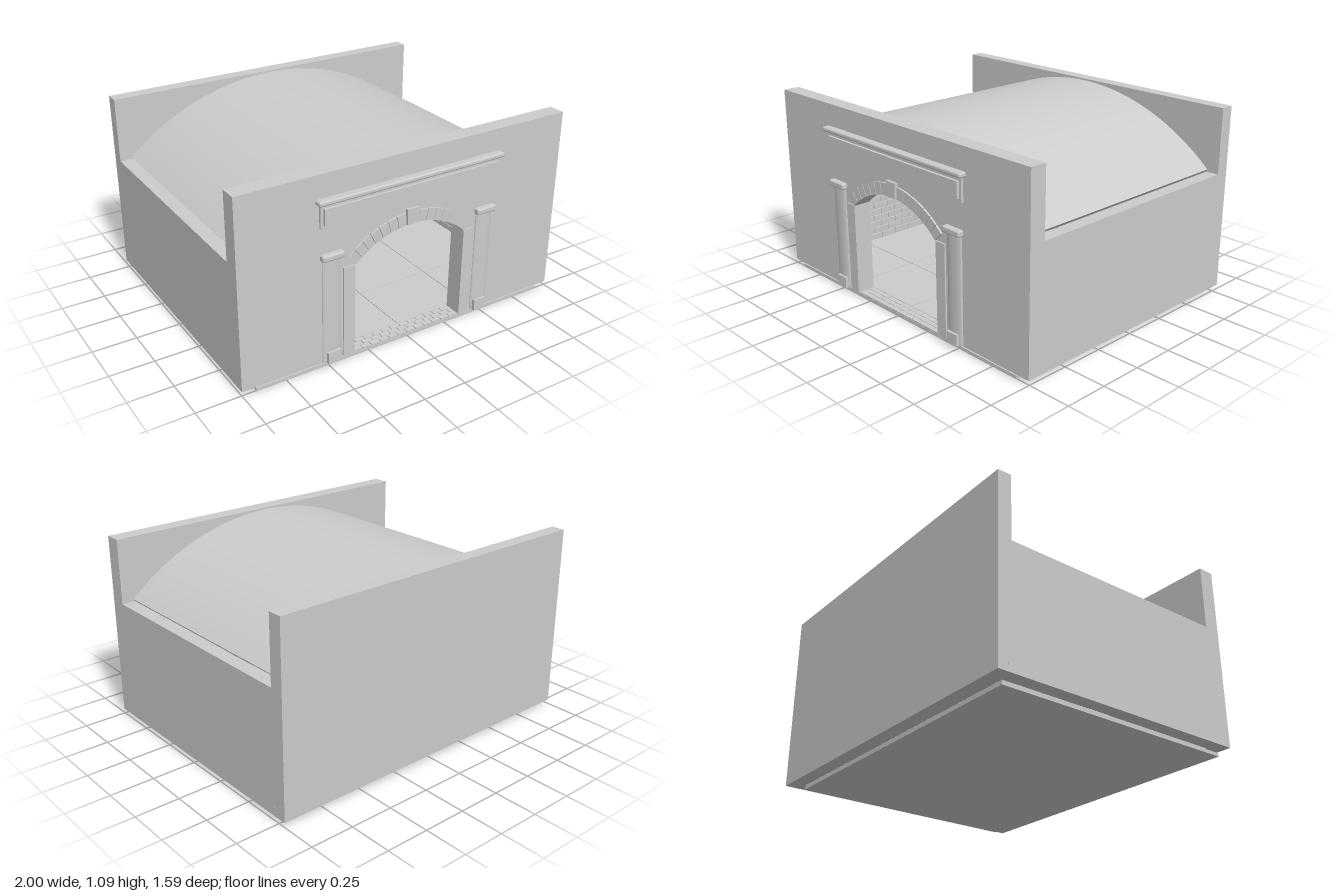
import * as THREE from 'three';
import { mergeGeometries, toCreasedNormals } from 'three/addons/utils/BufferGeometryUtils.js';
import { RoundedBoxGeometry } from 'three/addons/geometries/RoundedBoxGeometry.js';

const FRONT = 0.755, FRONT_IN = 0.66, BACK = -0.795, BACK_IN = -0.715;
const BASE = 0.025, TOP = 1.09;
// doorway arch
const DOOR = 0.345, SPRING = 0.55, ARCH_R = 0.495, ARCH_Y = 0.195;
const ARCH_A = Math.asin(DOOR / ARCH_R);
// roof vault
const ROOF_R = 1.405, ROOF_Y = -0.325, ROOF_A = Math.asin(0.93 / ROOF_R);

// box given by its minimum and maximum on each axis
function block(x0, x1, y0, y1, z0, z1) {
  return new THREE.BoxGeometry(x1 - x0, y1 - y0, z1 - z0)
    .translate((x0 + x1) / 2, (y0 + y1) / 2, (z0 + z1) / 2);
}

function rounded(x0, x1, y0, y1, z0, z1) {
  return new RoundedBoxGeometry(x1 - x0, y1 - y0, z1 - z0, 3, 0.01)
    .translate((x0 + x1) / 2, (y0 + y1) / 2, (z0 + z1) / 2);
}

function extrude(shape, z0, z1, curveSegments = 24) {
  const g = new THREE.ExtrudeGeometry(shape, { depth: z1 - z0, bevelEnabled: false, curveSegments });
  return toCreasedNormals(g.translate(0, 0, z0), 0.4);
}

// part of a ring, angles measured from straight up
function sector(cy, r0, r1, a0, a1) {
  const s = new THREE.Shape();
  s.absarc(0, cy, r1, Math.PI / 2 - a0, Math.PI / 2 - a1, true);
  s.absarc(0, cy, r0, Math.PI / 2 - a1, Math.PI / 2 - a0, false);
  return s;
}

export function createModel() {
  const group = new THREE.Group();
  group.name = 'vaultedHall';
  const stone = new THREE.MeshStandardMaterial({ color: 0xcccccc });
  stone.name = 'pale stone';
  const add = (name, geometry) => {
    const mesh = new THREE.Mesh(geometry, stone);
    mesh.name = name;
    group.add(mesh);
    return mesh;
  };

  // front wall with arched doorway
  const wall = new THREE.Shape();
  wall.moveTo(-1, BASE);
  wall.lineTo(-DOOR, BASE);
  wall.lineTo(-DOOR, SPRING);
  wall.absarc(0, ARCH_Y, ARCH_R, Math.PI / 2 + ARCH_A, Math.PI / 2 - ARCH_A, true);
  wall.lineTo(DOOR, BASE);
  wall.lineTo(1, BASE);
  wall.lineTo(1, TOP);
  wall.lineTo(-1, TOP);
  add('frontWall', extrude(wall, FRONT_IN, FRONT));

  add('backWall', block(-1, 1, BASE, TOP, BACK, BACK_IN));
  add('backSkirting', block(-1.001, 1.001, BASE, 0.078, -0.735, -0.709));

  // vaulted roof shell
  add('roof', extrude(sector(ROOF_Y, ROOF_R - 0.02, ROOF_R, -ROOF_A, ROOF_A), BACK_IN, FRONT_IN, 48));

  // ceiling courses under the vault
  const ceiling = [];
  const courses = 44, step = 2 * ROOF_A / courses;
  for (let i = 0; i < courses; i++) {
    const g = block(-0.021, 0.021, ROOF_R - 0.029, ROOF_R - 0.019, BACK_IN, FRONT_IN);
    ceiling.push(g.rotateZ(ROOF_A - (i + 0.5) * step).translate(0, ROOF_Y, 0));
  }
  add('ceilingCourses', mergeGeometries(ceiling));

  // side walls with staggered bricks on the inner face
  for (const side of [-1, 1]) {
    const name = side > 0 ? 'left' : 'right';
    const x = side * 0.965;
    add(name + 'SideWall', block(x - 0.035, x + 0.035, BASE, 0.715, BACK_IN, FRONT_IN));
    const bricks = [];
    const h = 0.69 / 17, len = 0.11;
    for (let row = 0; row < 17; row++) {
      for (let z = BACK_IN - (row % 2) * len / 2; z < FRONT_IN - 0.01; z += len) {
        const z0 = Math.max(z, BACK_IN), z1 = Math.min(z + len - 0.004, FRONT_IN);
        const y = BASE + row * h;
        bricks.push(block(side * 0.925 - 0.006, side * 0.925 + 0.006, y, y + h - 0.004, z0, z1));
      }
    }
    add(name + 'InnerBricks', mergeGeometries(bricks));
  }

  // floor slab, paving and brick threshold
  add('floorSlab', block(-0.92, 0.92, 0, 0.019, -0.71, FRONT));
  const tiles = [];
  const xs = [-0.92, -0.46, 0, 0.46, 0.92], zs = [-0.71, -0.305, 0.29, FRONT_IN];
  for (let i = 0; i < 4; i++) for (let j = 0; j < 3; j++) {
    tiles.push(block(xs[i] + 0.002, xs[i + 1] - 0.002, 0.018, BASE, zs[j] + 0.002, zs[j + 1] - 0.002));
  }
  add('floorTiles', mergeGeometries(tiles));

  const sill = [];
  const sw = 2 * DOOR / 12, sd = (FRONT - FRONT_IN) / 3;
  for (let row = 0; row < 3; row++) {
    for (let x = -DOOR - (row % 2) * sw / 2; x < DOOR - 0.005; x += sw) {
      const z = FRONT_IN + row * sd;
      sill.push(block(Math.max(x, -DOOR) + 0.002, Math.min(x + sw, DOOR) - 0.002, 0.018, 0.026, z + 0.002, z + sd - 0.001));
    }
  }
  add('thresholdBricks', mergeGeometries(sill));

  // arch stones and keystone
  const stones = [];
  const n = 7, keyA = 0.075, stoneA = (ARCH_A - keyA) / n;
  for (const side of [-1, 1]) for (let i = 0; i < n; i++) {
    const a = side * (keyA + (i + 0.5) * stoneA), half = stoneA / 2 - 0.003;
    stones.push(extrude(sector(ARCH_Y, ARCH_R, ARCH_R + 0.068, a - half, a + half), FRONT - 0.02, FRONT + 0.011, 3));
  }
  add('archStones', mergeGeometries(stones));
  const key = new THREE.Shape([[-0.034, 0.69], [0.034, 0.69], [0.038, 0.777], [-0.038, 0.777]]
    .map(p => new THREE.Vector2(...p)));
  add('keystone', extrude(key, FRONT - 0.02, FRONT + 0.017));

  // jambs and pilasters on both sides of the door
  for (const side of [-1, 1]) {
    const name = side > 0 ? 'left' : 'right';
    const c = side * 0.4825;
    const jamb = side * 0.379;
    add(name + 'Jamb', block(jamb - 0.034, jamb + 0.034, BASE, SPRING, FRONT - 0.02, FRONT + 0.009));
    const shaft = new THREE.CylinderGeometry(1, 1, 0.6, 20, 1, false, -Math.PI / 2, Math.PI);
    add(name + 'Pilaster', shaft.scale(0.054, 1, 0.016).translate(c, BASE + 0.3, FRONT));
    add(name + 'PilasterCap', rounded(c - 0.064, c + 0.064, 0.625, 0.661, FRONT - 0.015, 0.786));
    const base = side * 0.478;
    add(name + 'PilasterBase', block(base - 0.038, base + 0.038, BASE, 0.09, FRONT - 0.01, 0.784));
  }

  // panel and cornice above the door
  add('panelFrame', block(-0.55, 0.55, 0.805, 0.942, FRONT - 0.01, 0.768));
  add('panelFace', block(-0.535, 0.535, 0.825, 0.915, FRONT, 0.783));
  add('cornice', rounded(-0.57, 0.57, 0.937, 0.964, FRONT - 0.01, 0.795));

  return group;
}
